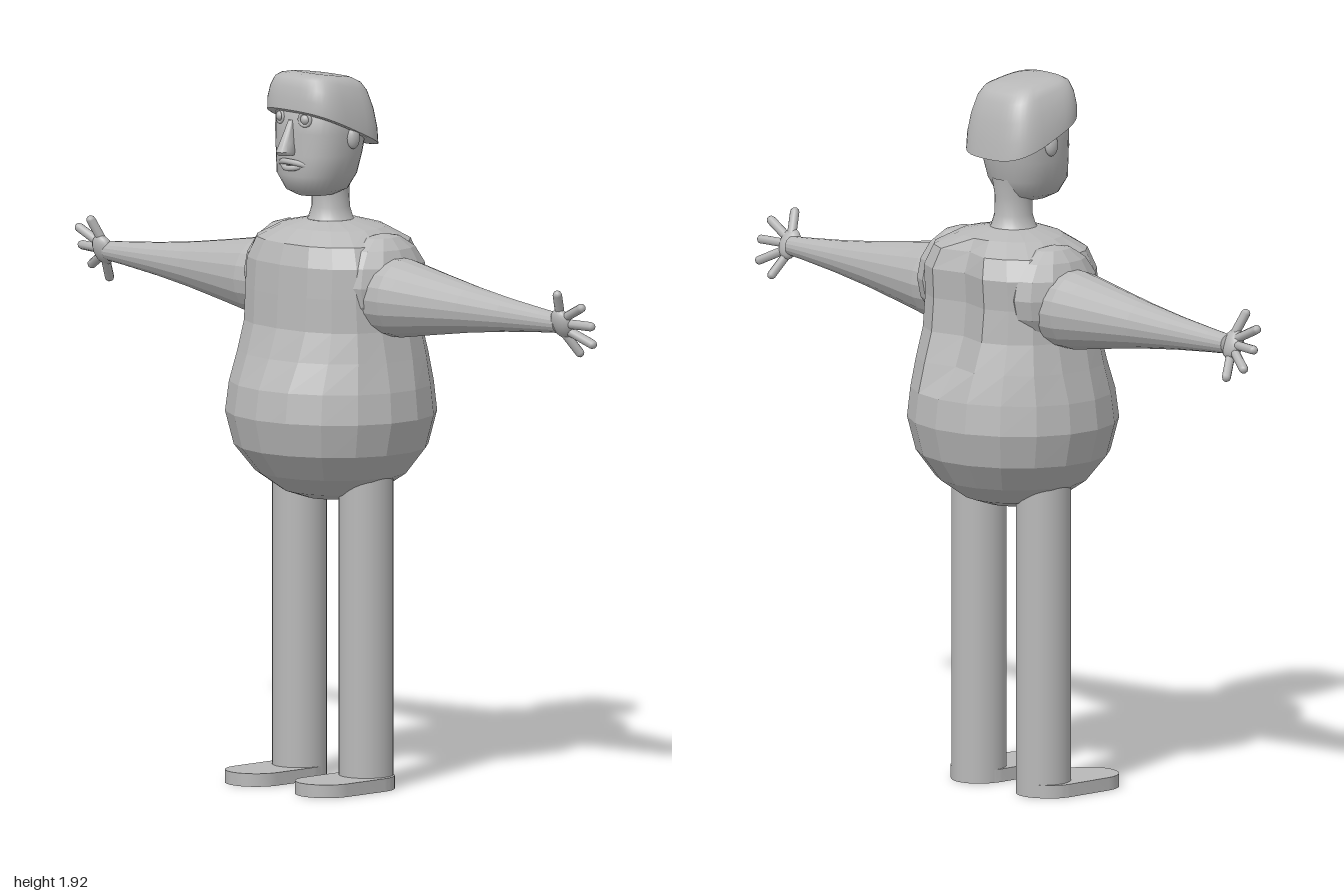
import * as THREE from 'three';
import { toCreasedNormals } from 'three/addons/utils/BufferGeometryUtils.js';

const SMOOTH = 0.8, FLAT = 0.01;

// Skin closed superellipse rings; row = [y, halfWidth, zFront, zBack, power, slope]
function loft(rows, sides, crease, bend) {
  const pos = [], idx = [];
  for (const [y, rx, zf, zb, n = 2, slope = 0] of rows) {
    for (let j = 0; j < sides; j++) {
      const a = (j / sides) * Math.PI * 2;
      const pw = (v) => (Math.abs(v) < 1e-9 ? 0 : Math.sign(v) * Math.abs(v) ** (2 / n));
      const z = (zf + zb) / 2 + ((zf - zb) / 2) * pw(Math.cos(a));
      const p = new THREE.Vector3(rx * pw(Math.sin(a)), y + slope * z, z);
      if (bend) bend(p);
      pos.push(p.x, p.y, p.z);
    }
  }
  for (let i = 0; i < rows.length - 1; i++) {
    for (let j = 0; j < sides; j++) {
      const k = (j + 1) % sides, a = i * sides, b = a + sides;
      idx.push(a + j, a + k, b + k, a + j, b + k, b + j);
    }
  }
  // end caps
  [0, rows.length - 1].forEach((r, end) => {
    const [y, , zf, zb, , slope = 0] = rows[r];
    const zc = (zf + zb) / 2, c = pos.length / 3;
    pos.push(0, y + slope * zc, zc);
    for (let j = 0; j < sides; j++) {
      const a = r * sides + j, b = r * sides + ((j + 1) % sides);
      if (end) idx.push(c, a, b); else idx.push(c, b, a);
    }
  });
  const g = new THREE.BufferGeometry();
  g.setAttribute('position', new THREE.Float32BufferAttribute(pos, 3));
  g.setIndex(idx);
  return toCreasedNormals(g, crease);
}

export function createModel() {
  const model = new THREE.Group();
  const clay = new THREE.MeshStandardMaterial({ color: 0xb8b8b8 });
  clay.name = 'grey clay';

  const add = (name, geo, x = 0, y = 0, z = 0, parent = model) => {
    const m = new THREE.Mesh(geo, clay);
    m.name = name;
    m.position.set(x, y, z);
    parent.add(m);
    return m;
  };
  // Rod between two points
  const rod = (name, from, to, r, parent) => {
    const d = to.clone().sub(from);
    const m = add(name, new THREE.CapsuleGeometry(r, d.length() - r, 3, 8), 0, 0, 0, parent);
    m.position.copy(from).addScaledVector(d, 0.5);
    m.quaternion.setFromUnitVectors(new THREE.Vector3(0, 1, 0), d.normalize());
  };

  // Pear-shaped torso with a groove down the upper back
  add('torso', loft([
    [0.77, 0.07, 0.07, -0.07], [0.79, 0.135, 0.13, -0.13], [0.84, 0.21, 0.2, -0.2],
    [0.91, 0.267, 0.255, -0.25], [1.0, 0.292, 0.277, -0.272], [1.08, 0.284, 0.265, -0.262],
    [1.16, 0.265, 0.228, -0.235, 2.2], [1.24, 0.247, 0.2, -0.207, 2.4],
    [1.33, 0.24, 0.195, -0.198, 2.5], [1.41, 0.238, 0.19, -0.203, 2.5],
    [1.465, 0.212, 0.172, -0.185, 2.4], [1.5, 0.15, 0.125, -0.135], [1.517, 0.07, 0.075, -0.07],
  ], 18, FLAT, (p) => {
    if (p.z < -0.1 && Math.abs(p.x) < 0.04 && p.y > 1.14 && p.y < 1.48) p.z += 0.035;
  }));

  // Neck
  add('neck', toCreasedNormals(new THREE.LatheGeometry([
    [0.085, 1.49], [0.06, 1.52], [0.051, 1.55], [0.05, 1.6], [0.058, 1.65],
  ].map(([r, y]) => new THREE.Vector2(r, y)), 24), SMOOTH), 0, 0, 0.004);

  // Head
  add('head', loft([
    [1.588, 0.045, 0.11, 0.0], [1.603, 0.075, 0.138, -0.03, 2.2], [1.645, 0.102, 0.154, -0.046, 2.4],
    [1.7, 0.111, 0.152, -0.06, 2.4], [1.76, 0.119, 0.15, -0.07, 2.4],
    [1.82, 0.12, 0.148, -0.072, 2.4], [1.87, 0.095, 0.115, -0.045, 2.4],
  ], 32, 1.2));

  // Tilted cap, low at the back
  add('cap', loft([
    [1.75, 0.128, 0.152, -0.085, 3, 0.445], [1.752, 0.136, 0.16, -0.095, 3, 0.445],
    [1.79, 0.133, 0.158, -0.09, 3.2, 0.4], [1.835, 0.122, 0.152, -0.08, 3.4, 0.32],
    [1.875, 0.107, 0.143, -0.066, 3.4, 0.23], [1.893, 0.094, 0.128, -0.052, 3.2, 0.18],
    [1.903, 0.07, 0.1, -0.025, 3, 0.15],
  ], 40, SMOOTH));

  // Nose wedge and lips
  add('nose', loft([
    [1.702, 0.018, 0.19, 0.135], [1.712, 0.022, 0.197, 0.135], [1.735, 0.016, 0.186, 0.135],
    [1.795, 0.007, 0.155, 0.135],
  ], 12, SMOOTH));
  const lips = new THREE.Group();
  lips.name = 'mouth';
  model.add(lips);
  for (const [name, y, w] of [['upperLip', 1.684, 0.05], ['lowerLip', 1.666, 0.04]]) {
    const curve = new THREE.QuadraticBezierCurve3(
      new THREE.Vector3(-w, 1.675, 0.137), new THREE.Vector3(0, 2 * y - 1.675, 0.182),
      new THREE.Vector3(w, 1.675, 0.137));
    add(name, new THREE.TubeGeometry(curve, 12, 0.008, 8), 0, 0, 0, lips);
  }

  for (const s of [1, -1]) {
    const side = s > 0 ? 'left' : 'right';

    // Eye with rim, and ear
    add(side + 'Eye', new THREE.SphereGeometry(0.015, 16, 10), s * 0.048, 1.8, 0.138);
    add(side + 'EyeRim', new THREE.TorusGeometry(0.017, 0.005, 8, 20), s * 0.048, 1.8, 0.142)
      .rotation.y = s * 0.25;
    add(side + 'Ear', new THREE.SphereGeometry(1, 14, 10), s * 0.12, 1.748, 0.033)
      .scale.set(0.014, 0.03, 0.02);

    // Faceted shoulder
    const shoulder = toCreasedNormals(new THREE.SphereGeometry(1, 12, 8), FLAT);
    add(side + 'Shoulder', shoulder, s * 0.185, 1.36, -0.015).scale.set(0.088, 0.135, 0.14);

    // Tapering arm
    const arm = new THREE.LatheGeometry([
      [0.107, 0.16], [0.105, 0.28], [0.085, 0.4], [0.063, 0.54], [0.045, 0.68],
      [0.031, 0.82], [0.026, 0.88], [0.0, 0.89],
    ].map(([r, h]) => new THREE.Vector2(r, h)), 18);
    add(side + 'Arm', toCreasedNormals(arm, FLAT), 0, 1.33, -0.008).rotation.z = -s * Math.PI / 2;

    // Hand with five spread fingers
    const hand = new THREE.Group();
    hand.name = side + 'Hand';
    model.add(hand);
    const palm = add('palm', new THREE.SphereGeometry(1, 14, 10), s * 0.895, 1.332, -0.003, hand);
    palm.scale.set(0.034, 0.043, 0.022);
    palm.rotation.x = 0.4;
    const tips = [[0.912, 1.418, 0.03], [0.985, 1.385, 0.006], [0.999, 1.332, -0.018],
      [0.982, 1.278, -0.04], [0.92, 1.246, -0.05]];
    tips.forEach(([x, y, z], i) => rod('finger' + (i + 1),
      new THREE.Vector3(s * 0.89, 1.332 + (y - 1.332) * 0.15, -0.003),
      new THREE.Vector3(s * x, y, z), 0.0125, hand));

    // Straight leg
    add(side + 'Leg', new THREE.CylinderGeometry(0.073, 0.073, 0.9, 32), s * 0.13, 0.45, -0.004);

    // Flat foot with rounded ends
    const sole = new THREE.Shape();
    sole.absarc(0, 0.012, 0.083, Math.PI, 2 * Math.PI);
    sole.absarc(0, 0.147, 0.083, 0, Math.PI);
    const foot = new THREE.ExtrudeGeometry(sole, { depth: 0.035, bevelEnabled: false, curveSegments: 14 });
    foot.rotateX(Math.PI / 2);
    add(side + 'Foot', toCreasedNormals(foot, SMOOTH), s * 0.137, 0.035, 0);
  }
  return model;
}
